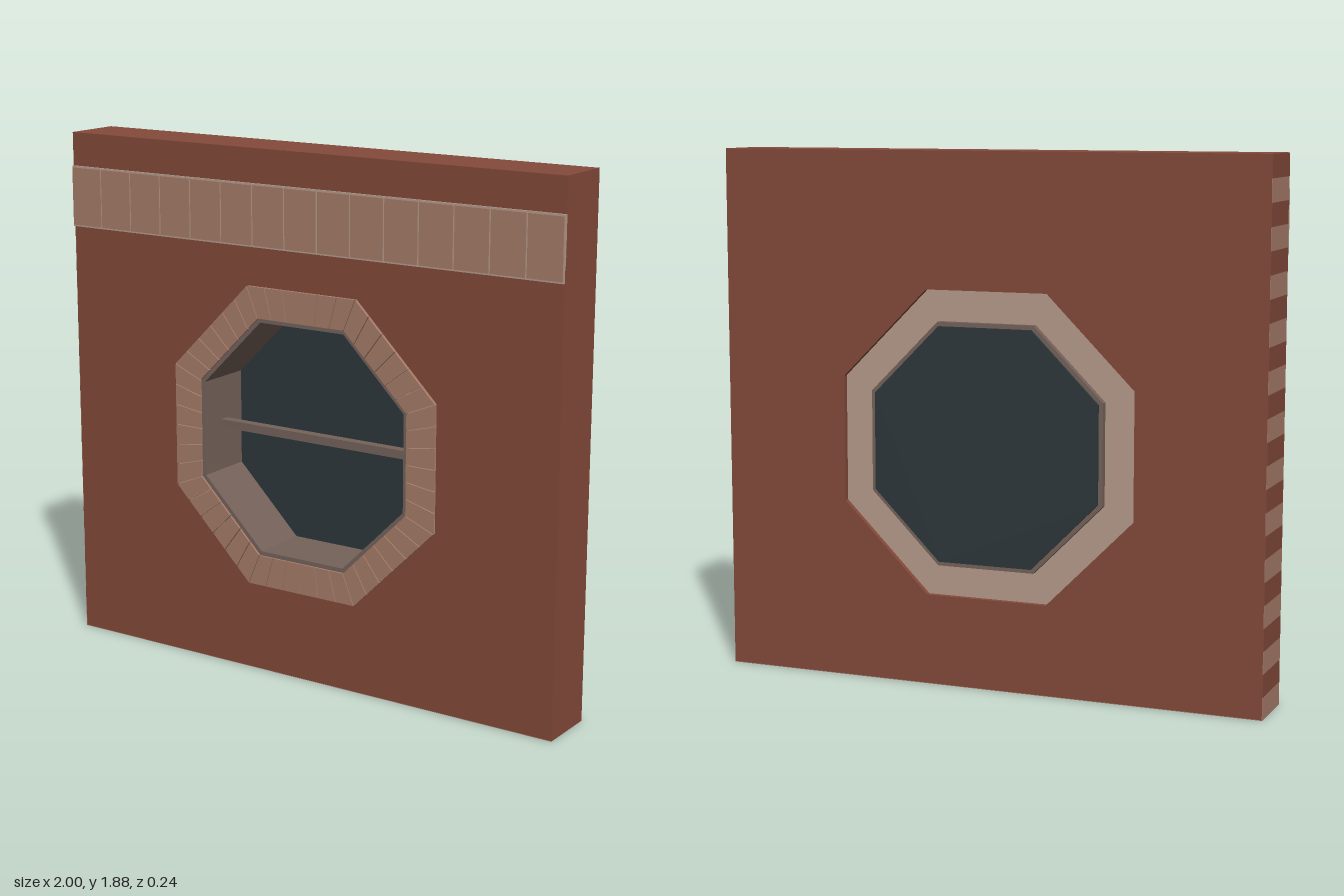
import * as THREE from 'three';

const mat = (name, color) => {
  const m = new THREE.MeshStandardMaterial({ color });
  m.name = name;
  return m;
};

const CY = 0.863;                       // height of the window centre
const T = Math.tan(Math.PI / 8);

// Corners of a regular octagon given its apothem
function octagon(a) {
  const r = a / Math.cos(Math.PI / 8), pts = [];
  for (let i = 0; i < 8; i++) {
    const t = Math.PI / 8 + i * Math.PI / 4;
    pts.push(new THREE.Vector2(r * Math.cos(t), CY + r * Math.sin(t)));
  }
  return pts;
}

// Extrude a shape between two z depths
function slab(shape, z0, z1) {
  const g = new THREE.ExtrudeGeometry(shape, { depth: z1 - z0, bevelEnabled: false });
  g.translate(0, 0, z0);
  return g;
}

function octagonRing(inner, outer, z0, z1) {
  const s = new THREE.Shape(octagon(outer));
  s.holes.push(new THREE.Path(octagon(inner)));
  return slab(s, z0, z1);
}

export function createModel() {
  const brick = mat('red brick', 0x844a3a);
  const trim = mat('tan brick', 0xa77c69);
  const mortar = mat('pale stone', 0xb69c8c);
  const frame = mat('brown frame', 0x75625a);
  const glass = mat('dark glass', 0x2d373c);

  const root = new THREE.Group();
  root.name = 'wallWithOctagonWindow';
  const add = (name, geo, material, parent = root) => {
    const m = new THREE.Mesh(geo, material);
    m.name = name;
    parent.add(m);
    return m;
  };
  const box = (name, w, h, d, x, y, z, material, parent) =>
    add(name, new THREE.BoxGeometry(w, h, d), material, parent).position.set(x, y, z);
  const group = (name) => {
    const g = new THREE.Group();
    g.name = name;
    root.add(g);
    return g;
  };

  // Wall with octagonal opening
  const outline = new THREE.Shape([[-0.998, 0.002], [1, 0.002], [1, 1.88], [-0.998, 1.88]]
    .map(([x, y]) => new THREE.Vector2(x, y)));
  outline.holes.push(new THREE.Path(octagon(0.54)));
  add('wall', slab(outline, -0.107, 0.108), brick);
  box('wallUnderside', 2, 0.002, 0.215, 0, 0.001, 0.0005, trim);

  // Striped end of the wall
  const end = group('stripedEnd');
  const stripes = 24, sh = 1.878 / stripes;
  for (let i = 0; i < stripes; i++) {
    box('endStripe', 0.002, sh, 0.215, -0.999, 0.002 + (i + 0.5) * sh, 0.0005,
      i % 2 ? brick : trim, end);
  }

  // Band of upright bricks
  const band = group('brickBand');
  box('bandBacking', 2, 0.22, 0.012, 0, 1.65, 0.11, mortar, band);
  const n = 15, w = 2 / n;
  for (let i = 0; i < n; i++) {
    box('bandBrick', w - 0.007, 0.208, 0.014, -1 + (i + 0.5) * w, 1.65, 0.113, trim, band);
  }

  // Stone surround, recessed at the back
  add('windowSurround', octagonRing(0.43, 0.54, -0.087, 0.11), mortar);

  // Wedge bricks around the front of the opening
  const wedges = group('surroundBricks');
  const per = 6, a0 = 0.43, a1 = 0.54, gap = 0.0015;
  for (let side = 0; side < 8; side++) {
    for (let i = 0; i < per; i++) {
      const u = (-1 + 2 * i / per) * T, v = (-1 + 2 * (i + 1) / per) * T;
      const s = new THREE.Shape([
        new THREE.Vector2(u * a0 + gap, a0), new THREE.Vector2(v * a0 - gap, a0),
        new THREE.Vector2(v * a1 - gap, a1), new THREE.Vector2(u * a1 + gap, a1)]);
      const m = add('surroundBrick', slab(s, 0.1, 0.12), trim, wedges);
      m.position.y = CY;
      m.rotation.z = side * Math.PI / 4;
    }
  }

  // Window frame, pane and crossbar
  add('windowFrame', octagonRing(0.415, 0.43, -0.111, 0.112), frame);
  add('windowPane', slab(new THREE.Shape(octagon(0.415)), -0.12, -0.104), glass);
  box('crossbar', 0.83, 0.03, 0.035, 0, CY, 0, frame);

  return root;
}
